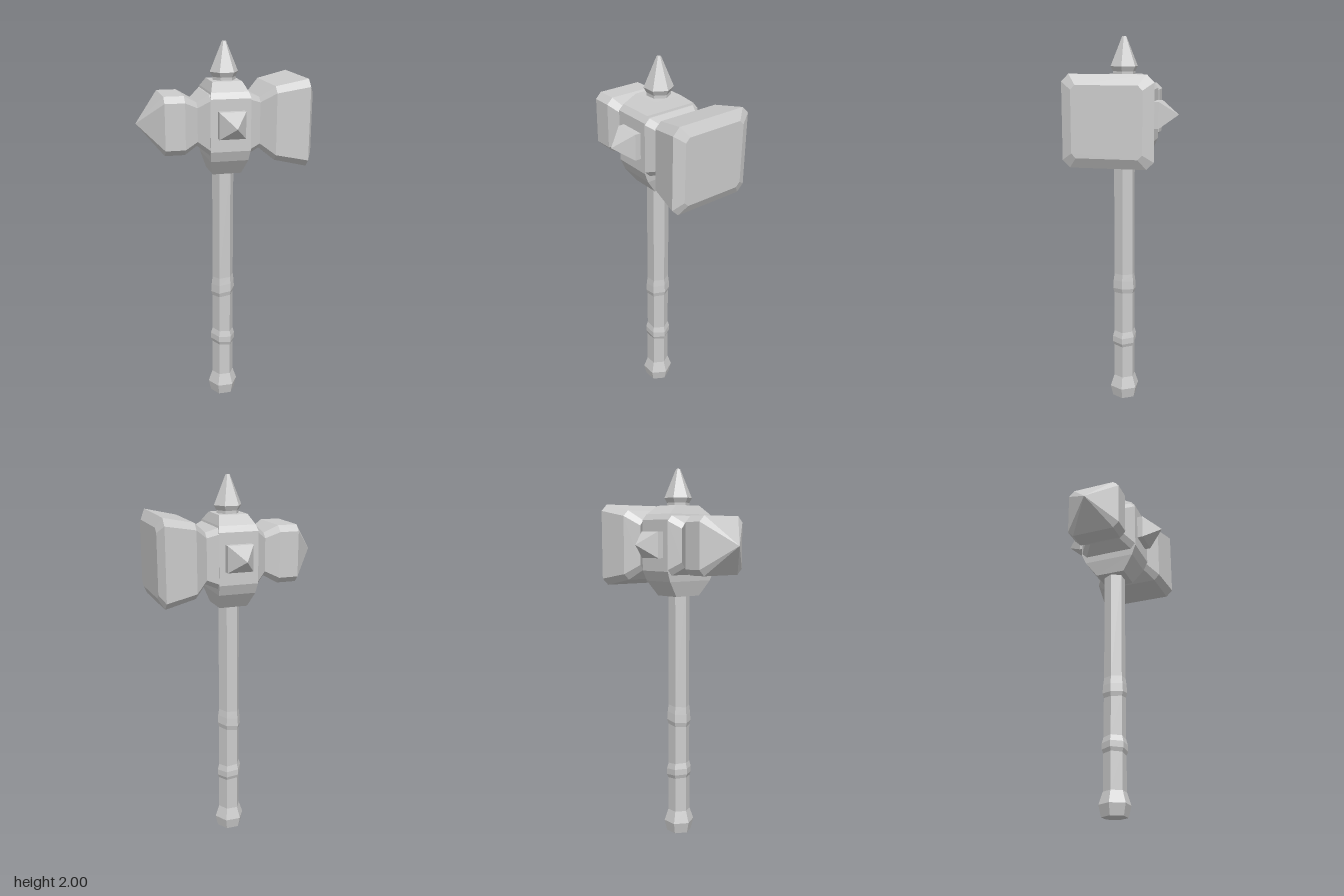
import * as THREE from 'three';

const CX = 0.018, CZ = -0.003, HEAD_Y = 1.603;
const material = new THREE.MeshStandardMaterial({ color: 0xcccccc, flatShading: true });

// Rectangular cross-section with cut corners, at height y
function rectRing(y, hx, hz, cut = 0) {
  return [
    [hx, -hz + cut], [hx - cut, -hz], [-hx + cut, -hz], [-hx, -hz + cut],
    [-hx, hz - cut], [-hx + cut, hz], [hx - cut, hz], [hx, hz - cut],
  ].map(([x, z]) => new THREE.Vector3(x, y, z));
}

// Hexagonal cross-section; tilt slants the ring along x
function hexRing(y, r, tilt = 0) {
  return Array.from({ length: 6 }, (_, i) => {
    const a = (i * Math.PI) / 3;
    return new THREE.Vector3(r * Math.cos(a), y + tilt * r * Math.cos(a), -r * Math.sin(a));
  });
}

// Flat-sided skin through the rings (bottom to top), closed at both ends
function loft(rings) {
  const pos = [];
  const tri = (a, b, c) => {
    const area = b.clone().sub(a).cross(c.clone().sub(a)).length();
    if (area > 1e-9) for (const p of [a, b, c]) pos.push(p.x, p.y, p.z);
  };
  const n = rings[0].length;
  for (let k = 0; k < rings.length - 1; k++) {
    for (let i = 0; i < n; i++) {
      const j = (i + 1) % n, lo = rings[k], hi = rings[k + 1];
      tri(lo[i], lo[j], hi[j]);
      tri(lo[i], hi[j], hi[i]);
    }
  }
  const first = rings[0], last = rings[rings.length - 1];
  for (let i = 1; i < n - 1; i++) {
    tri(first[0], first[i + 1], first[i]);
    tri(last[0], last[i], last[i + 1]);
  }
  const geometry = new THREE.BufferGeometry();
  geometry.setAttribute('position', new THREE.Float32BufferAttribute(pos, 3));
  geometry.computeVertexNormals();
  return geometry;
}

export function createModel() {
  const group = new THREE.Group();
  const add = (name, geometry, x, y, z) => {
    const mesh = new THREE.Mesh(geometry, material);
    mesh.name = name;
    mesh.position.set(x, y, z);
    group.add(mesh);
    return mesh;
  };

  // Hexagonal shaft with a flared pommel and two slanted grip bands
  add('handle', loft([
    [0, 0.069], [0.06, 0.083], [0.125, 0.061],
    [0.315, 0.06, -0.1], [0.335, 0.068, -0.1], [0.368, 0.068, -0.1], [0.4, 0.059, -0.1],
    [0.62, 0.059, 0.15], [0.645, 0.066, 0.15], [0.69, 0.063, 0.15], [0.73, 0.058, 0.1],
    [1.36, 0.058],
  ].map((p) => hexRing(...p))), 0.015, 0, CZ);

  // Central block, bevelled above and below
  add('headBlock', loft([
    [1.335, 0.076, 0.08], [1.416, 0.098, 0.14], [1.47, 0.104, 0.162],
    [1.735, 0.104, 0.162], [1.765, 0.096, 0.14], [1.81, 0.076, 0.08],
  ].map((p) => rectRing(...p))), CX, 0, CZ);

  // Broad striking face on the left
  add('hammerFace', loft([
    [0.08, 0.152, 0.161, 0.028], [0.122, 0.152, 0.161, 0.028], [0.177, 0.13, 0.134, 0.025],
    [0.246, 0.187, 0.194, 0.031], [0.41, 0.222, 0.223, 0.036], [0.438, 0.172, 0.172, 0.022],
  ].map((p) => rectRing(...p))).rotateZ(-Math.PI / 2), 0, HEAD_Y, CZ);

  // Pointed peen on the right (built upward, then turned to -x)
  add('pointedPeen', loft([
    [0.05, 0.152, 0.161, 0.028], [0.086, 0.152, 0.161, 0.028], [0.142, 0.11, 0.114, 0.025],
    [0.21, 0.148, 0.148, 0.031], [0.312, 0.148, 0.148, 0.031], [0.44, 0, 0, 0],
  ].map((p) => rectRing(...p))).rotateZ(Math.PI / 2), 0, HEAD_Y, CZ);

  // Square studs on the front and back
  for (const [name, s] of [['frontStud', 1], ['backStud', -1]]) {
    add(name, loft([
      rectRing(0.14, 0.068, 0.068), rectRing(0.193, 0.068, 0.068), rectRing(0.288, 0, 0),
    ]).rotateX((s * Math.PI) / 2), 0.02, 1.607, CZ);
  }

  // Hexagonal spike on top
  add('topSpike', loft([
    hexRing(1.79, 0.06), hexRing(1.825, 0.06), hexRing(1.85, 0.074), hexRing(2, 0.011),
  ]), 0.02, 0, CZ);

  return group;
}
